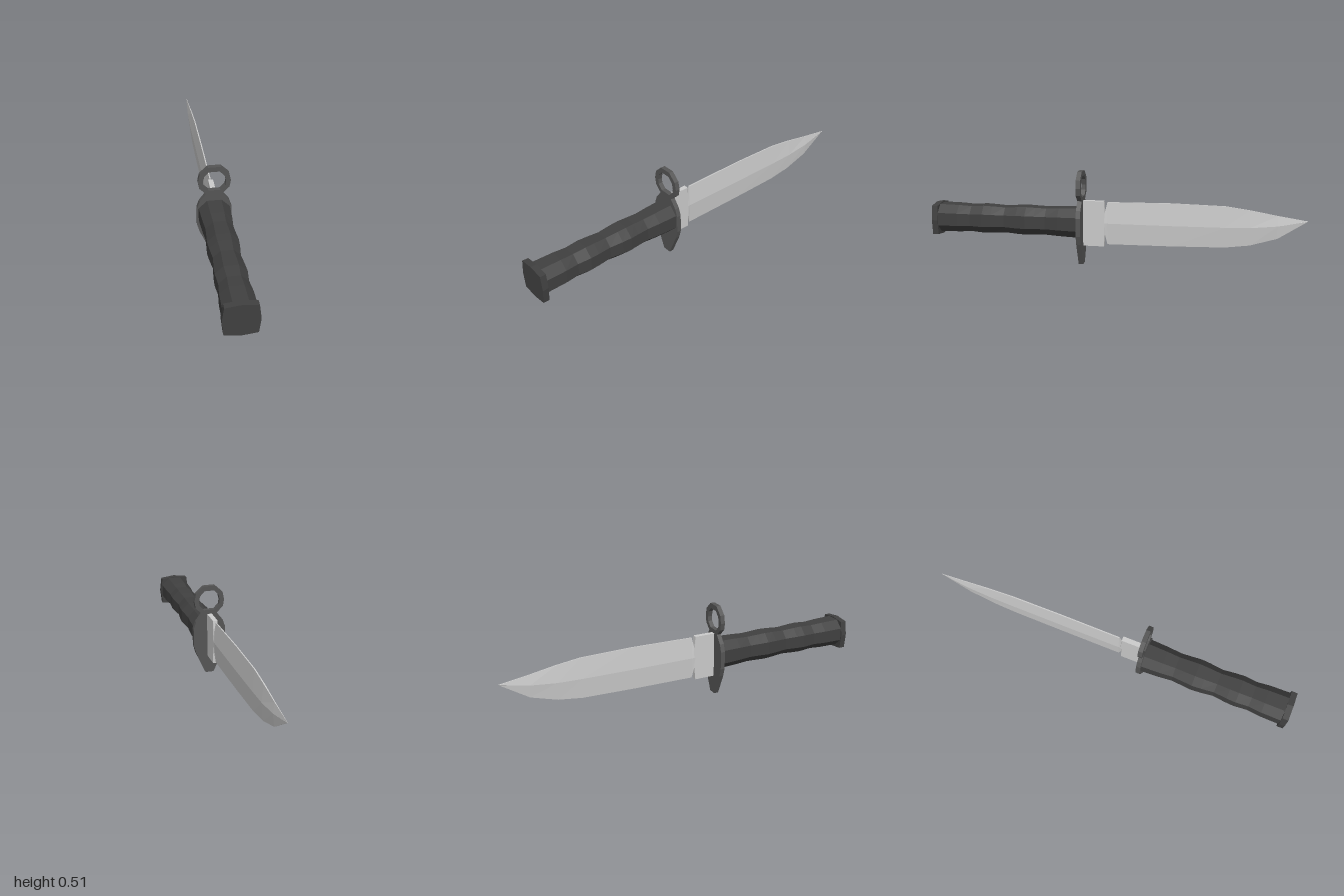
import * as THREE from 'three';

const steel = new THREE.MeshStandardMaterial({ color: 0xcccccc, flatShading: true });
const gripDark = new THREE.MeshStandardMaterial({ color: 0x404040, flatShading: true });
const guardDark = new THREE.MeshStandardMaterial({ color: 0x555555, flatShading: true });

// Skins rings of [x, y, z] points, ordered from +z to -z, and caps both ends
function loft(rings) {
  const n = rings[0].length;
  const index = [];
  for (let i = 0; i < rings.length - 1; i++) {
    for (let j = 0; j < n; j++) {
      const k = (j + 1) % n;
      const a = i * n + j, b = i * n + k, c = b + n, d = a + n;
      index.push(a, d, c, a, c, b);
    }
  }
  const last = (rings.length - 1) * n;
  for (let j = 1; j < n - 1; j++) {
    index.push(0, j, j + 1, last, last + j + 1, last + j);
  }
  const geometry = new THREE.BufferGeometry();
  geometry.setAttribute('position', new THREE.Float32BufferAttribute(rings.flat(2), 3));
  geometry.setIndex(index);
  const flat = geometry.toNonIndexed();
  flat.computeVertexNormals();
  return flat;
}

// Completes a right-hand outline (bottom to top) with its mirror image
function mirrored(half) {
  const left = half.filter(([x]) => x > 0).reverse().map(([x, y]) => [-x, y]);
  return [...half, ...left].map(([x, y]) => new THREE.Vector2(x, y));
}

function plate(half, z, depth, holeHalf) {
  const shape = new THREE.Shape(mirrored(half));
  if (holeHalf) shape.holes.push(new THREE.Path(mirrored(holeHalf)));
  const geometry = new THREE.ExtrudeGeometry(shape, { depth, bevelEnabled: false });
  return geometry.translate(0, 0, z);
}

export function createModel() {
  const model = new THREE.Group();
  const add = (name, geometry, material) => {
    const mesh = new THREE.Mesh(geometry, material);
    mesh.name = name;
    model.add(mesh);
  };

  // Blade: z, bottom, top, edge half thickness, ridge half thickness, ridge height
  const bladeSections = [
    [0.18, 0.102, 0.348, 0.013, 0.013, 0.228],
    [0.06, 0.102, 0.348, 0.013, 0.013, 0.228],
    [0.055, 0.17, 0.285, 0.009, 0.013, 0.228],
    [0.042, 0.113, 0.343, 0.003, 0.012, 0.228],
    [-0.30, 0.117, 0.349, 0.003, 0.012, 0.229],
    [-0.58, 0.124, 0.344, 0.003, 0.012, 0.232],
    [-0.71, 0.141, 0.327, 0.003, 0.012, 0.236],
    [-0.85, 0.183, 0.303, 0.002, 0.010, 0.250],
    [-1.0, 0.279, 0.281, 0.0005, 0.001, 0.280],
  ];
  add('blade', loft(bladeSections.map(([z, low, high, e, t, mid]) => [
    [e, low, z], [t, mid, z], [e, high, z], [-e, high, z], [-t, mid, z], [-e, low, z],
  ])), steel);

  // Octagonal grip with finger waves: z, half width, half height
  const gripSections = [
    [0.975, 0.080, 0.076], [0.86, 0.078, 0.074], [0.79, 0.071, 0.070],
    [0.72, 0.077, 0.075], [0.67, 0.074, 0.073], [0.60, 0.067, 0.069],
    [0.53, 0.075, 0.074], [0.48, 0.078, 0.076], [0.43, 0.074, 0.074],
    [0.37, 0.070, 0.072], [0.30, 0.076, 0.076], [0.19, 0.081, 0.080],
  ];
  add('grip', loft(gripSections.map(([z, w, h]) => {
    const fx = w * 0.46, fy = h * 0.46;
    return [
      [w, -fy], [w, fy], [fx, h], [-fx, h], [-w, fy], [-w, -fy], [-fx, -h], [fx, -h],
    ].map(([x, y]) => [x, y + 0.23, z]);
  })), gripDark);

  // Pommel cap
  add('pommel', plate(
    [[0, 0.136], [0.079, 0.146], [0.088, 0.225], [0.078, 0.303], [0, 0.313]], 0.968, 0.032,
  ), gripDark);

  // Cross guard with muzzle ring
  add('guard', plate(
    [[0.023, 0], [0.077, 0.122], [0.09, 0.168], [0.09, 0.265], [0.076, 0.306],
      [0.042, 0.351], [0.077, 0.386], [0.084, 0.424], [0.075, 0.467], [0.033, 0.507]],
    0.173, 0.024,
    [[0.03, 0.371], [0.055, 0.397], [0.059, 0.422], [0.052, 0.453], [0.027, 0.48]],
  ), guardDark);

  return model;
}
